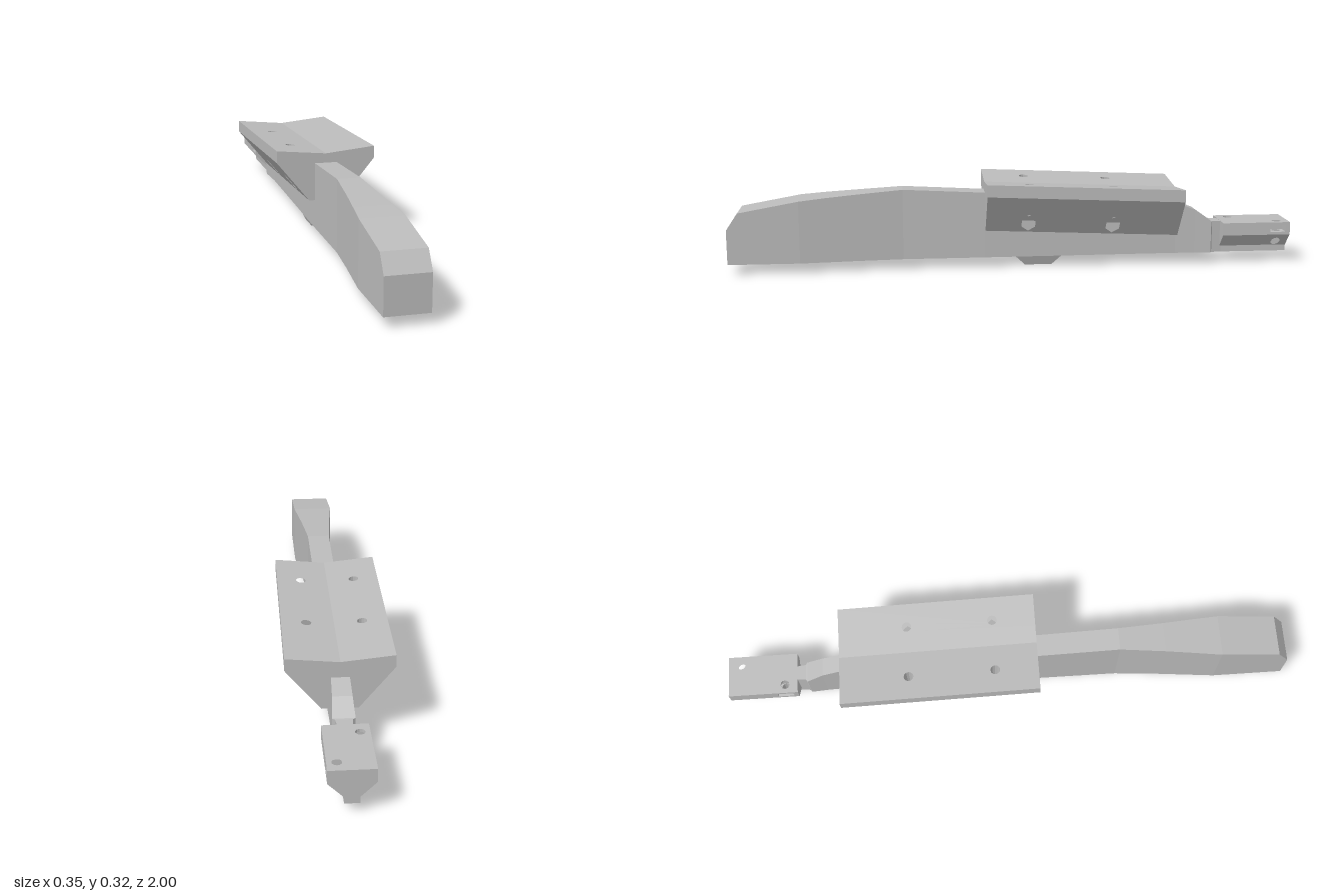
import * as THREE from 'three';

export function createModel() {
  const model = new THREE.Group();
  const grey = new THREE.MeshStandardMaterial({ color: 0xbbbbbb });
  grey.name = 'grey plastic';

  const add = (name, geometry, parent = model) => {
    const mesh = new THREE.Mesh(geometry, grey);
    mesh.name = name;
    parent.add(mesh);
    return mesh;
  };

  // Solid lofted through four-cornered sections: [z, halfWidth, bottom, top]
  function loft(sections) {
    const pos = [], index = [];
    for (const [z, h, b, t] of sections) pos.push(-h, b, z, h, b, z, h, t, z, -h, t, z);
    const n = sections.length;
    for (let i = 0; i < n - 1; i++) {
      for (let k = 0; k < 4; k++) {
        const a = i * 4 + k, b = i * 4 + (k + 1) % 4;
        index.push(a, a + 4, b, b, a + 4, b + 4);
      }
    }
    const e = (n - 1) * 4;
    index.push(0, 1, 2, 0, 2, 3, e, e + 2, e + 1, e, e + 3, e + 2);
    let g = new THREE.BufferGeometry();
    g.setAttribute('position', new THREE.Float32BufferAttribute(pos, 3));
    g.setIndex(index);
    g = g.toNonIndexed();
    g.computeVertexNormals();
    return g;
  }

  const ring = (x, z, r, sides) => Array.from({ length: sides }, (_, i) => {
    const a = (i / sides) * Math.PI * 2;
    return [x + r * Math.cos(a), z + r * Math.sin(a)];
  });
  const rect = (x0, x1, z0, z1) => [[x0, z0], [x1, z0], [x1, z1], [x0, z1]];

  // Plan outline in x, z with holes, raised between two height rules; side mirrors x
  function slab(side, outline, holes, low, high) {
    const toPoints = pts => pts.map(([x, z]) => new THREE.Vector2(side * x, -z));
    const shape = new THREE.Shape(toPoints(outline));
    for (const hole of holes) shape.holes.push(new THREE.Path(toPoints(hole)));
    const g = new THREE.ExtrudeGeometry(shape, { depth: 1, bevelEnabled: false });
    g.rotateX(-Math.PI / 2);
    const p = g.attributes.position;
    for (let i = 0; i < p.count; i++) {
      const rule = p.getY(i) > 0.5 ? high : low;
      p.setY(i, rule(Math.abs(p.getX(i)), p.getZ(i)));
    }
    g.computeVertexNormals();
    return g;
  }

  // Long arched beam, wide at the front and slim toward the tail
  const B = 0.035;
  add('beam', loft([
    [1, 0.073, B, 0.157], [0.96, 0.073, B, 0.217], [0.75, 0.073, B, 0.255],
    [0.66, 0.064, B, 0.264], [0.55, 0.053, B, 0.273], [0.39, 0.04, B, 0.285],
    [0.1, 0.039, B, 0.27], [-0.59, 0.03, B, 0.22], [-0.66, 0.032, B, 0.193],
    [-0.72, 0.036, B, 0.15], [-0.725, 0.028, B, 0.149], [-0.76, 0.024, B, 0.149],
    [-1, 0.024, B, 0.149],
  ]));

  // Tapered foot under the beam
  const foot = new THREE.BoxGeometry(1, 1, 1).toNonIndexed();
  const fp = foot.attributes.position;
  for (let i = 0; i < fp.count; i++) {
    const up = fp.getY(i) > 0;
    fp.setXYZ(i, Math.sign(fp.getX(i)) * (up ? 0.028 : 0.015), up ? 0.036 : 0,
      -0.093 + Math.sign(fp.getZ(i)) * (up ? 0.085 : 0.048));
  }
  foot.computeVertexNormals();
  add('foot', foot);

  // Tilted V-topped saddle: round bolt holes above hexagonal nut pockets
  const saddle = new THREE.Group();
  saddle.name = 'saddle';
  model.add(saddle);
  const Z0 = -0.59, Z1 = 0.1;
  const tilt = z => (z - Z1) * 0.042;
  const top = (x, z) => 0.303 + 0.099 * x + tilt(z);
  const under = (x, z) => 0.137 + 1.226 * (x - 0.06) + tilt(z);
  const pocket = (x, z) => under(x, z) + 0.04;
  const boltZ = [-0.05, -0.35];
  for (const side of [1, -1]) {
    const wing = rect(0.06, 0.175, Z0, Z1);
    add('saddleCore', slab(side, rect(0, 0.06, Z0, Z1), [], (x, z) => 0.137 + tilt(z), top), saddle);
    add('saddleWingLower', slab(side, wing, boltZ.map(z => ring(0.092, z, 0.028, 6)), under, pocket), saddle);
    add('saddleWingUpper', slab(side, wing, boltZ.map(z => ring(0.092, z, 0.017, 12)), pocket, top), saddle);
  }

  // Tail block: each side has one bolt hole crossed by a nut slot open to the side
  const tail = new THREE.Group();
  tail.name = 'tailBlock';
  model.add(tail);
  const level = y => () => y;
  const slope = x => 0.055 + (x - 0.022) * 0.98;
  const X0 = 0.022, X1 = 0.073, T0 = -1, T1 = -0.755;
  for (const [side, z] of [[1, -0.957], [-1, -0.8]]) {
    const plan = rect(X0, X1, T0, T1);
    const hole = [ring(0.042, z, 0.016, 12)];
    const slotted = [[X0, T0], [X1, T0], [X1, z - 0.028], [0.026, z - 0.028],
      [0.026, z + 0.028], [X1, z + 0.028], [X1, T1], [X0, T1]];
    add('tailLower', slab(side, plan, hole, slope, level(0.115)), tail);
    add('tailNutSlot', slab(side, slotted, [], level(0.115), level(0.14)), tail);
    add('tailUpper', slab(side, plan, hole, level(0.14), level(0.15)), tail);
  }
  // Cover joining the two upper halves
  add('tailCover', slab(1, rect(-X0, X0, T0, T1), [], level(0.14), level(0.15)), tail);

  return model;
}
